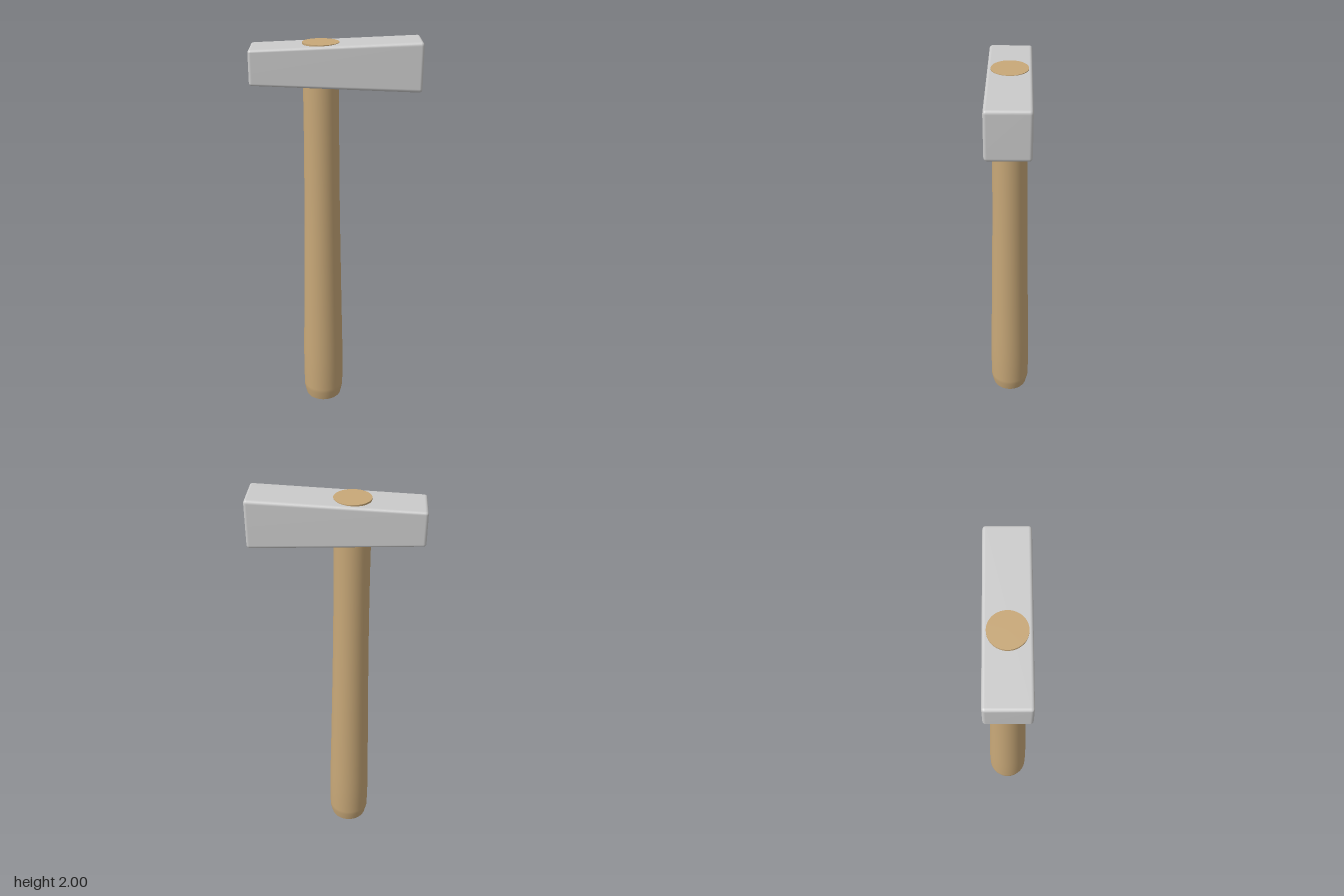
import * as THREE from 'three';
import { mergeVertices } from 'three/addons/utils/BufferGeometryUtils.js';
import { RoundedBoxGeometry } from 'three/addons/geometries/RoundedBoxGeometry.js';

const HEAD_LENGTH = 0.81;
const HEAD_Y = 1.8825;

// Rounded block whose height grows from the small face (-x) to the large face (+x)
function taperedHead() {
  const box = new RoundedBoxGeometry(HEAD_LENGTH, 0.2, 0.208, 3, 0.015);
  box.deleteAttribute('normal');
  box.deleteAttribute('uv');
  const geometry = mergeVertices(box, 1e-5);
  const p = geometry.attributes.position;
  for (let i = 0; i < p.count; i++) {
    const t = p.getX(i) / HEAD_LENGTH + 0.5;
    p.setY(i, p.getY(i) * THREE.MathUtils.lerp(0.825, 1.175, t));
  }
  geometry.computeVertexNormals();
  return geometry;
}

// Smoothly swelling shaft with a chamfered butt
function shaft() {
  const swell = new THREE.SplineCurve([
    [0.107, 0.05], [0.108, 0.25], [0.1, 0.65], [0.091, 1.15], [0.087, 1.55], [0.087, 1.985],
  ].map(([r, y]) => new THREE.Vector2(r, y)));
  return new THREE.LatheGeometry([new THREE.Vector2(0.096, 0), ...swell.getPoints(30)], 48);
}

export function createModel() {
  const group = new THREE.Group();
  const steel = new THREE.MeshStandardMaterial({ color: 0xcccccc });
  const wood = new THREE.MeshStandardMaterial({ color: 0xc8a878 });

  const head = new THREE.Mesh(taperedHead(), steel);
  head.name = 'hammerHead';
  head.position.y = HEAD_Y;
  group.add(head);

  // Handle passes right through the head and shows on top
  const handle = new THREE.Group();
  handle.name = 'handle';
  handle.position.x = -0.07;
  const body = new THREE.Mesh(shaft(), wood);
  body.name = 'handleShaft';
  handle.add(body);

  // Flat end faces
  for (const [name, radius, y, turn] of [
    ['handleTop', 0.087, 1.985, -Math.PI / 2],
    ['handleButt', 0.096, 0, Math.PI / 2],
  ]) {
    const end = new THREE.Mesh(new THREE.CircleGeometry(radius, 48), wood);
    end.name = name;
    end.rotation.x = turn;
    end.position.y = y;
    handle.add(end);
  }
  group.add(handle);
  return group;
}
